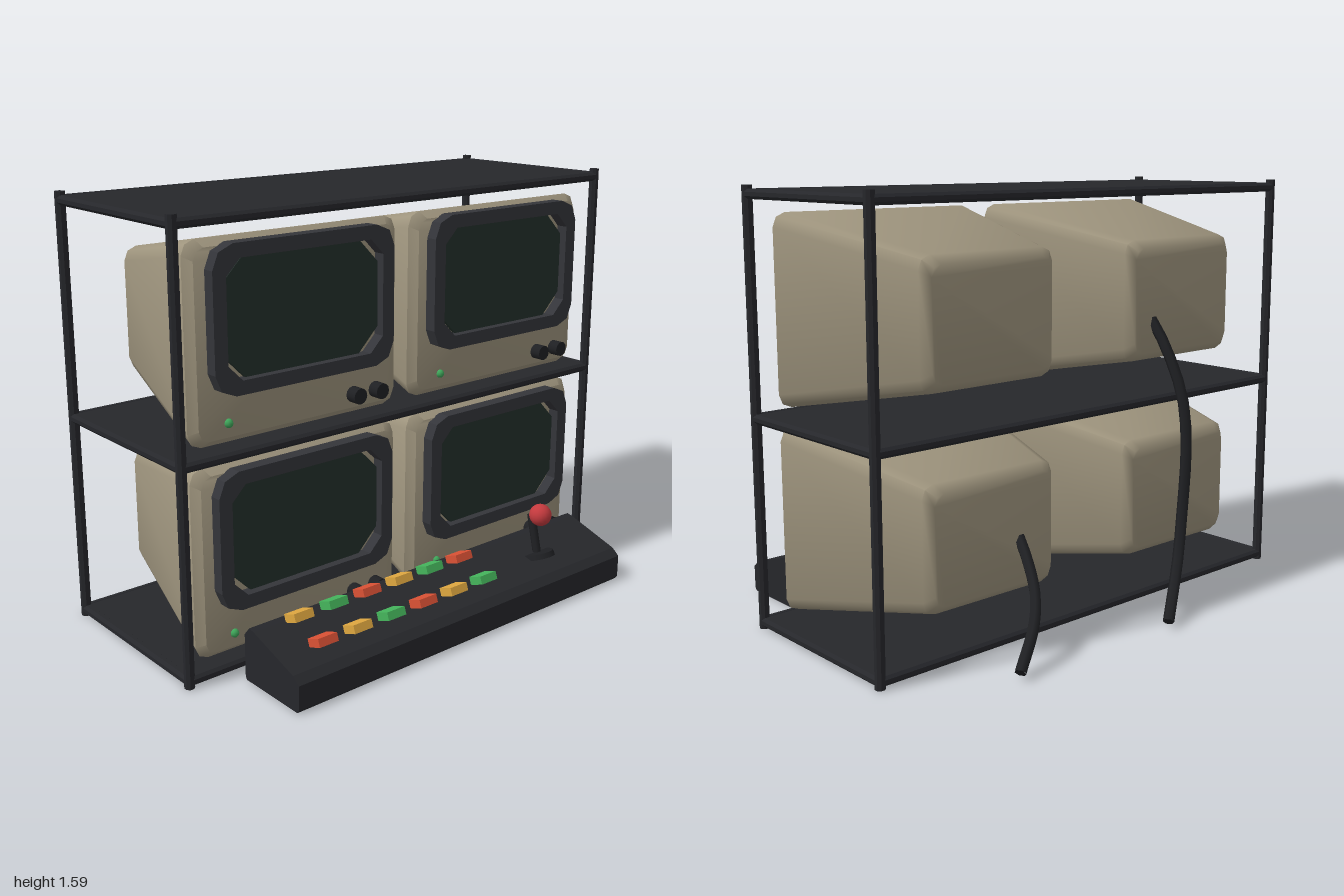
import * as THREE from 'three';
import { toCreasedNormals } from 'three/addons/utils/BufferGeometryUtils.js';

const mat = (color, flatShading = false) => new THREE.MeshStandardMaterial({ color, flatShading });
const M = {
  frame: mat(0x26272b, true), shelf: mat(0x26272b), bezel: mat(0x34353a, true), body: mat(0xa0977f),
  screen: mat(0x24302c), knob: mat(0x1f2023), led: mat(0x3fa65a), ball: mat(0xc43a3e),
  yellow: mat(0xe0a840), green: mat(0x45b55c), red: mat(0xdc5235),
};
M.body.color.set(0xa0967f);

function add(parent, name, geometry, material, x = 0, y = 0, z = 0) {
  const mesh = new THREE.Mesh(geometry, material);
  mesh.name = name;
  mesh.position.set(x, y, z);
  parent.add(mesh);
  return mesh;
}

// Rectangle outline with corners cut by n segments, counter-clockwise
function outline(w, h, r, n) {
  const pts = [];
  [[1, 1], [-1, 1], [-1, -1], [1, -1]].forEach(([sx, sy], q) => {
    for (let i = 0; i <= n; i++) {
      const a = (q + i / n) * Math.PI / 2;
      pts.push(new THREE.Vector2(sx * (w / 2 - r) + r * Math.cos(a), sy * (h / 2 - r) + r * Math.sin(a)));
    }
  });
  return pts;
}

// Tapered housing lofted through cross-sections from front to back
function housingGeometry() {
  const W = 0.885, H = 0.685, k = 0.66;
  const rings = [
    [0.30, W - 0.05, H - 0.05, 0.04], [0.27, W, H, 0.05],
    [-0.345, W * k, H * k, 0.05], [-0.375, W * k - 0.06, H * k - 0.06, 0.04],
  ];
  const pos = [], idx = [], n = 12;
  rings.forEach(([z, w, h, r]) => outline(w, h, r, 2).forEach(p => pos.push(p.x, p.y, z)));
  for (let j = 0; j < rings.length - 1; j++) {
    for (let i = 0; i < n; i++) {
      const a = j * n + i, b = j * n + (i + 1) % n;
      idx.push(a, a + n, b, b, a + n, b + n);
    }
  }
  const last = (rings.length - 1) * n;
  for (let i = 1; i < n - 1; i++) idx.push(0, i, i + 1, last, last + i + 1, last + i);
  const g = new THREE.BufferGeometry();
  g.setAttribute('position', new THREE.Float32BufferAttribute(pos, 3));
  g.setIndex(idx);
  return toCreasedNormals(g.toNonIndexed(), 0.85);
}

function buildMonitor(name, x, y) {
  const g = new THREE.Group();
  g.name = name;
  g.position.set(x, y, 0);
  add(g, 'housing', housingGeometry(), M.body);

  // Raised surround with an opening, and the glass inside it
  const ring = new THREE.Shape(outline(0.754, 0.497, 0.08, 2));
  ring.holes.push(new THREE.Path(outline(0.652, 0.4, 0.055, 1)));
  add(g, 'bezel', new THREE.ExtrudeGeometry(ring, { depth: 0.05, bevelEnabled: false }), M.bezel, 0, 0.08, 0.295);
  const glass = new THREE.Shape(outline(0.652, 0.4, 0.085, 1));
  add(g, 'screen', new THREE.ExtrudeGeometry(glass, { depth: 0.02, bevelEnabled: false }), M.screen, 0, 0.08, 0.295);

  for (const kx of [0.226, 0.328]) {
    add(g, 'knob', new THREE.CylinderGeometry(0.029, 0.029, 0.05, 12), M.knob, kx, -0.268, 0.32).rotation.x = Math.PI / 2;
  }
  add(g, 'powerLight', new THREE.SphereGeometry(0.016, 8, 6), M.led, -0.303, -0.268, 0.302);
  return g;
}

function buildRack() {
  const g = new THREE.Group();
  g.name = 'rack';
  const R = 0.0185, X = 0.98, Z0 = -0.393, Z1 = 0.32, zc = (Z0 + Z1) / 2;
  const bar = len => new THREE.CylinderGeometry(R, R, len, 8).rotateY(Math.PI / 8);
  for (const x of [-X, X]) for (const z of [Z0, Z1]) add(g, 'post', bar(1.588), M.frame, x, 0.794, z);
  // Three shelves, each edged with rails
  for (const y of [0.025, 0.777, 1.558]) {
    add(g, 'shelf', new THREE.BoxGeometry(2 * X, 0.03, Z1 - Z0), M.shelf, 0, y, zc);
    for (const z of [Z0, Z1]) add(g, 'longRail', bar(2 * X), M.frame, 0, y, z).rotation.z = Math.PI / 2;
    for (const x of [-X, X]) add(g, 'sideRail', bar(Z1 - Z0), M.frame, x, y, zc).rotation.x = Math.PI / 2;
  }
  return g;
}

function buildConsole() {
  const g = new THREE.Group();
  g.name = 'controlPanel';
  // Wedge profile (z, y) swept across the width
  const profile = [[0.40, 0], [0.68, 0], [0.69, 0.012], [0.69, 0.1], [0.66, 0.125],
    [0.445, 0.195], [0.42, 0.2], [0.393, 0.168], [0.393, 0.01]];
  const shape = new THREE.Shape(profile.map(([z, y]) => new THREE.Vector2(-z, y)));
  const base = new THREE.ExtrudeGeometry(shape, { depth: 1.605, bevelEnabled: false });
  base.rotateY(Math.PI / 2).translate(-0.8025, 0, 0);
  add(g, 'panelBase', base, M.frame);

  // Two rows of tilted buttons
  const colours = [M.yellow, M.green, M.red];
  const tilt = -0.35;
  const key = new THREE.BoxGeometry(0.08, 0.03, 0.06);
  for (let i = 0; i < 6; i++) {
    const x = -0.632 + i * 0.151;
    add(g, 'backButton', key, colours[i % 3], x, 0.214, 0.473).rotation.x = tilt;
    add(g, 'frontButton', key, colours[(i + 2) % 3], x, 0.174, 0.602).rotation.x = tilt;
  }

  // Joystick
  add(g, 'stickBase', new THREE.CylinderGeometry(0.065, 0.07, 0.02, 12), M.knob, 0.473, 0.153, 0.552).rotation.x = -0.31;
  add(g, 'stickShaft', new THREE.CylinderGeometry(0.016, 0.016, 0.16, 8), M.knob, 0.473, 0.232, 0.533).rotation.x = -0.24;
  add(g, 'stickBall', new THREE.SphereGeometry(0.043, 16, 12), M.ball, 0.473, 0.32, 0.56);
  return g;
}

// Capped hanging cable
function buildCable(name, points) {
  const g = new THREE.Group();
  g.name = name;
  const curve = new THREE.CatmullRomCurve3(points.map(p => new THREE.Vector3(...p)));
  add(g, 'cableRun', new THREE.TubeGeometry(curve, 14, 0.021, 6), M.knob);
  const end = curve.getPoint(1);
  const cap = add(g, 'cableEnd', new THREE.CircleGeometry(0.021, 6), M.knob, end.x, end.y, end.z);
  cap.lookAt(end.clone().add(curve.getTangent(1)));
  return g;
}

export function createModel() {
  const model = new THREE.Group();
  model.name = 'monitorRack';
  model.add(buildRack());
  for (const [row, y] of [['upper', 1.152], ['lower', 0.398]]) {
    model.add(buildMonitor(row + 'RightMonitor', -0.478, y));
    model.add(buildMonitor(row + 'LeftMonitor', 0.473, y));
  }
  model.add(buildConsole());
  model.add(buildCable('longCable', [[-0.32, 1.08, -0.36], [-0.33, 0.99, -0.42], [-0.345, 0.8, -0.5],
    [-0.345, 0.62, -0.525], [-0.31, 0.33, -0.54], [-0.26, 0.2, -0.57], [-0.1, 0.025, -0.67]]));
  model.add(buildCable('shortCable', [[0.35, 0.37, -0.36], [0.375, 0.31, -0.43],
    [0.42, 0.22, -0.52], [0.48, 0.14, -0.58], [0.6, 0.025, -0.645]]));
  return model;
}
